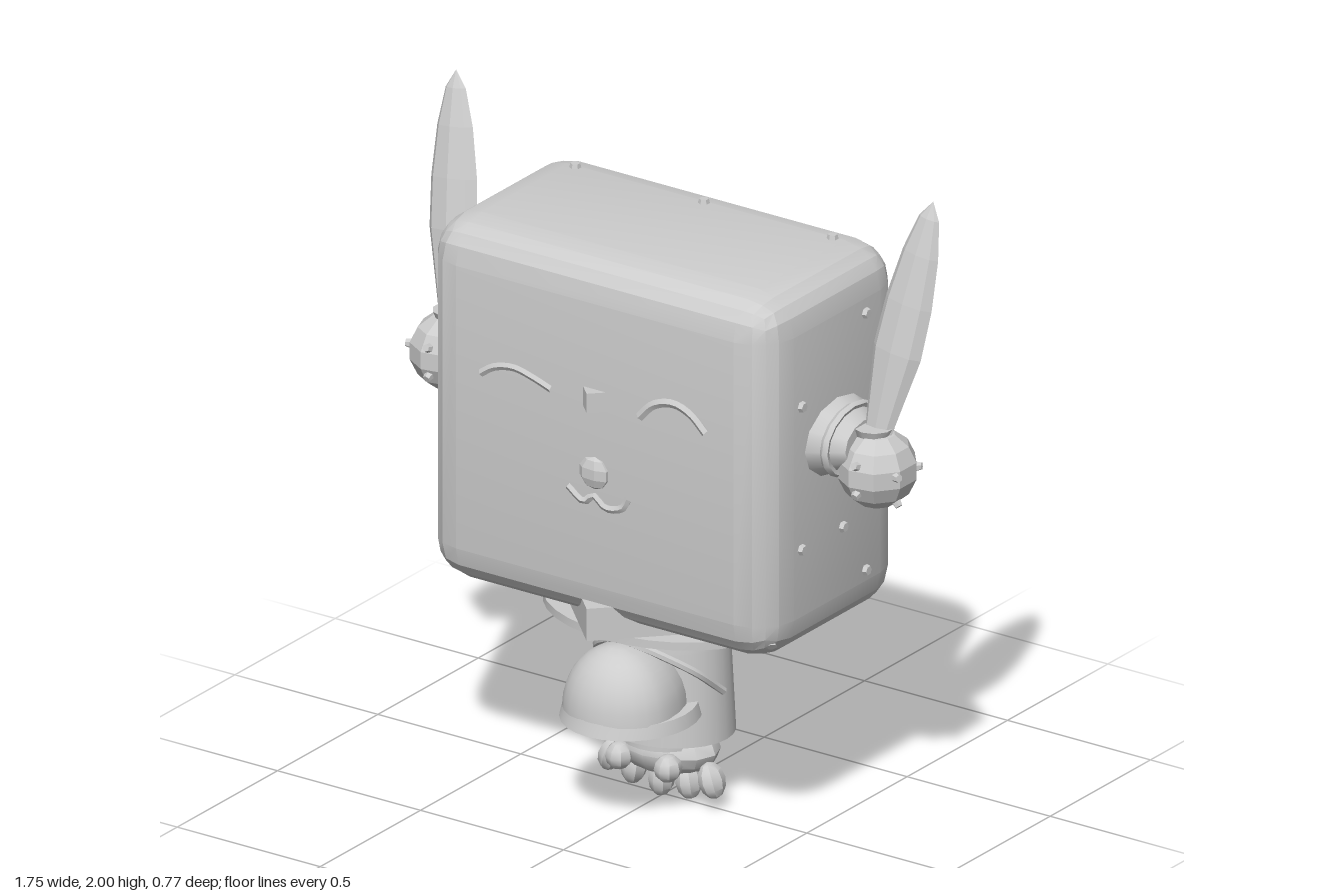
import * as THREE from 'three';
import { RoundedBoxGeometry } from 'three/addons/geometries/RoundedBoxGeometry.js';
import { toCreasedNormals } from 'three/addons/utils/BufferGeometryUtils.js';

const gray = new THREE.MeshStandardMaterial({ color: 0xcccccc });
gray.name = 'light gray';

export function createModel() {
  const model = new THREE.Group();
  model.name = 'boxHeadCharacter';
  const UP = new THREE.Vector3(0, 1, 0);

  // crease 0 gives facets, larger values smooth the softer edges
  const add = (name, geo, [x, y, z] = [0, 0, 0], scale = [1, 1, 1], crease = 0.6) => {
    geo.scale(...scale);
    const mesh = new THREE.Mesh(toCreasedNormals(geo, crease), gray);
    mesh.name = name;
    mesh.position.set(x, y, z);
    model.add(mesh);
    return mesh;
  };
  const aim = (mesh, dir) => mesh.quaternion.setFromUnitVectors(UP, new THREE.Vector3(...dir).normalize());
  const bolt = (pos, dir, r = 0.02) =>
    aim(add('bolt', new THREE.CylinderGeometry(r * 0.7, r, 0.022, 6), pos, [1, 1, 1], 0), dir);
  const box = (name, w, h, d, pos) => add(name, new THREE.BoxGeometry(w, h, d), pos);
  const ball = (name, pos, radii, w = 12, h = 8, crease = 0.6) =>
    add(name, new THREE.SphereGeometry(1, w, h), pos, radii, crease);

  // Head
  add('head', new RoundedBoxGeometry(1.22, 1.13, 0.68, 2, 0.125), [0, 1.205, 0.005], [1, 1, 1], 0.3);

  // Diamond plates, showing as small points on the front and back of the head
  add('collarDiamond', new THREE.CylinderGeometry(0.385, 0.385, 0.1, 4), [0, 0.66, 0]);
  add('browDiamond', new THREE.CylinderGeometry(0.385, 0.385, 0.06, 4), [0, 1.35, 0]);

  // Closed eyes and mouth as tapered curved strips
  const strip = (name, pts, r) => {
    const curve = new THREE.CatmullRomCurve3(pts.map(([x, y]) => new THREE.Vector3(x, y, 0)));
    add(name, new THREE.TubeGeometry(curve, 14, r, 5), [0, 0, 0.347], [1, 1, 0.9]);
  };
  strip('leftEye', [[0.16, 1.335], [0.21, 1.385], [0.28, 1.405], [0.34, 1.385], [0.39, 1.34]], 0.014);
  strip('rightEye', [[-0.395, 1.335], [-0.35, 1.365], [-0.28, 1.38], [-0.21, 1.365], [-0.15, 1.345]], 0.012);
  strip('mouth', [[-0.09, 1.06], [-0.035, 1.025], [0, 1.05], [0.04, 1.022], [0.1, 1.035], [0.12, 1.07]], 0.012);
  ball('nose', [0, 1.12, 0.345], [0.055, 0.05, 0.022], 7, 5, 0);

  // Back panel with a small tail of segments
  box('backPanel', 0.42, 0.25, 0.04, [0, 1.2, -0.342]);
  box('backLowerPanel', 0.26, 0.11, 0.03, [0, 1.03, -0.337]);
  for (const y of [0.95, 0.88, 0.81, 0.74]) box('backSegment', 0.06, 0.045, 0.02, [0, y, -0.335]);
  bolt([0, 1.2, -0.367], [0, 0, -1], 0.04);

  // Bolts on the top and back
  for (const x of [-0.45, 0, 0.45]) bolt([x, 1.772, -0.2], [0, 1, 0]);
  for (const x of [-0.45, 0.45]) for (const y of [1.55, 0.79]) bolt([x, y, -0.337], [0, 0, -1]);

  for (const s of [-1, 1]) {
    // Side and corner bolts
    for (const [y, z] of [[1.42, 0.185], [0.975, 0.185], [0.975, -0.02], [1.6, -0.135], [0.8, -0.135]])
      bolt([s * 0.612, y, z], [s, 0, 0]);
    bolt([s * 0.565, 1.7, 0.27], [s, 1, 1]);
    bolt([s * 0.565, 0.7, 0.27], [s, -1, 1]);

    // Shoulder mount and rim
    const mount = add('shoulderMount', new THREE.CylinderGeometry(0.095, 0.165, 0.1, 12), [s * 0.655, 1.27, 0.005], [0.72, 1, 1]);
    mount.rotation.z = -s * Math.PI / 2;
    const rim = add('shoulderRim', new THREE.TorusGeometry(0.135, 0.014, 5, 16), [s * 0.66, 1.27, 0.005], [1, 0.75, 1]);
    rim.rotation.y = Math.PI / 2;

    // Ball joint with studs and ear socket
    const c = [s * 0.748, 1.2, 0];
    ball('earJoint', c, [0.117, 0.118, 0.122], 9, 7, 0);
    for (const d of [[0.9, 0.1, 0.45], [0.9, 0.1, -0.45], [0.65, -0.75, 0.1], [0, -0.4, 0.9], [0, -0.4, -0.9], [0, 0.35, 0.93]]) {
      const n = new THREE.Vector3(s * d[0], d[1], d[2]).normalize();
      bolt(n.clone().multiplyScalar(0.118).add(new THREE.Vector3(...c)).toArray(), n.toArray(), 0.016);
    }
    add('earSocket', new THREE.CylinderGeometry(0.062, 0.05, 0.03, 10), [s * 0.735, 1.312, 0]);

    // Leaf-shaped ear
    const profile = [[0, 0], [0.045, 0], [0.06, 0.1], [0.083, 0.25], [0.08, 0.4], [0.062, 0.55], [0.035, 0.66], [0, 0.712]]
      .map(([r, y]) => new THREE.Vector2(r, y));
    aim(add('ear', new THREE.LatheGeometry(profile, 8), [s * 0.745, 1.305, -0.005], [1, 1, 0.45], 0), [s * 0.09, 0.695, -0.15]);
  }

  // Collar disc and leg
  add('collarDisc', new THREE.CylinderGeometry(0.37, 0.37, 0.025, 32), [0, 0.595, 0], [1, 1, 0.8]);
  add('collarRing', new THREE.CylinderGeometry(0.195, 0.195, 0.03, 28), [0, 0.58, -0.01], [1, 1, 0.9]);
  add('leg', new THREE.CylinderGeometry(0.182, 0.202, 0.38, 28), [0, 0.4, -0.025], [1, 1, 0.87]);
  add('legBand', new THREE.CylinderGeometry(0.191, 0.193, 0.025, 28), [0, 0.51, -0.025], [1, 1, 0.88]);
  for (const s of [-1, 1]) {
    box('legTab', 0.03, 0.04, 0.05, [s * 0.198, 0.55, -0.02]);
    bolt([s * 0.13, 0.47, -0.16], [s * 0.5, 0, -1]);
  }

  // Toe cap: a hemisphere with a longer back half, on a flat sole
  const cap = new THREE.SphereGeometry(1, 24, 8, 0, Math.PI * 2, 0, Math.PI / 2);
  const p = cap.attributes.position;
  for (let i = 0; i < p.count; i++) p.setZ(i, p.getZ(i) * (p.getZ(i) > 0 ? 0.15 : 0.24));
  add('toeCap', cap, [0, 0.345, 0.22], [0.172, 0.195, 1]);
  add('sole', new THREE.CylinderGeometry(0.19, 0.2, 0.04, 28), [0, 0.33, 0.165], [1, 1, 1.08]);
  const arch = new THREE.CatmullRomCurve3(
    [[-0.195, 0.36, -0.02], [-0.165, 0.46, 0.1], [0, 0.545, 0.2], [0.165, 0.46, 0.1], [0.195, 0.36, -0.02]]
      .map(v => new THREE.Vector3(...v)));
  add('toeCapRim', new THREE.TubeGeometry(arch, 24, 0.012, 6));

  // Foot with toes
  add('ankle', new THREE.CylinderGeometry(0.13, 0.13, 0.04, 20), [0, 0.2, -0.01]);
  ball('foot', [0, 0.155, -0.015], [0.17, 0.085, 0.12]);
  for (const [x, y] of [[0, 0.055], [0.095, 0.068], [-0.095, 0.068], [0.175, 0.088], [-0.175, 0.088]]) {
    ball('toe', [x, y, 0.01], [0.037, 0.055, 0.045], 8, 6).rotation.z = x * 1.8;
  }
  for (const x of [-0.085, 0.085]) ball('frontToe', [x, 0.135, 0.1], [0.04, 0.042, 0.045], 8, 6);
  return model;
}
